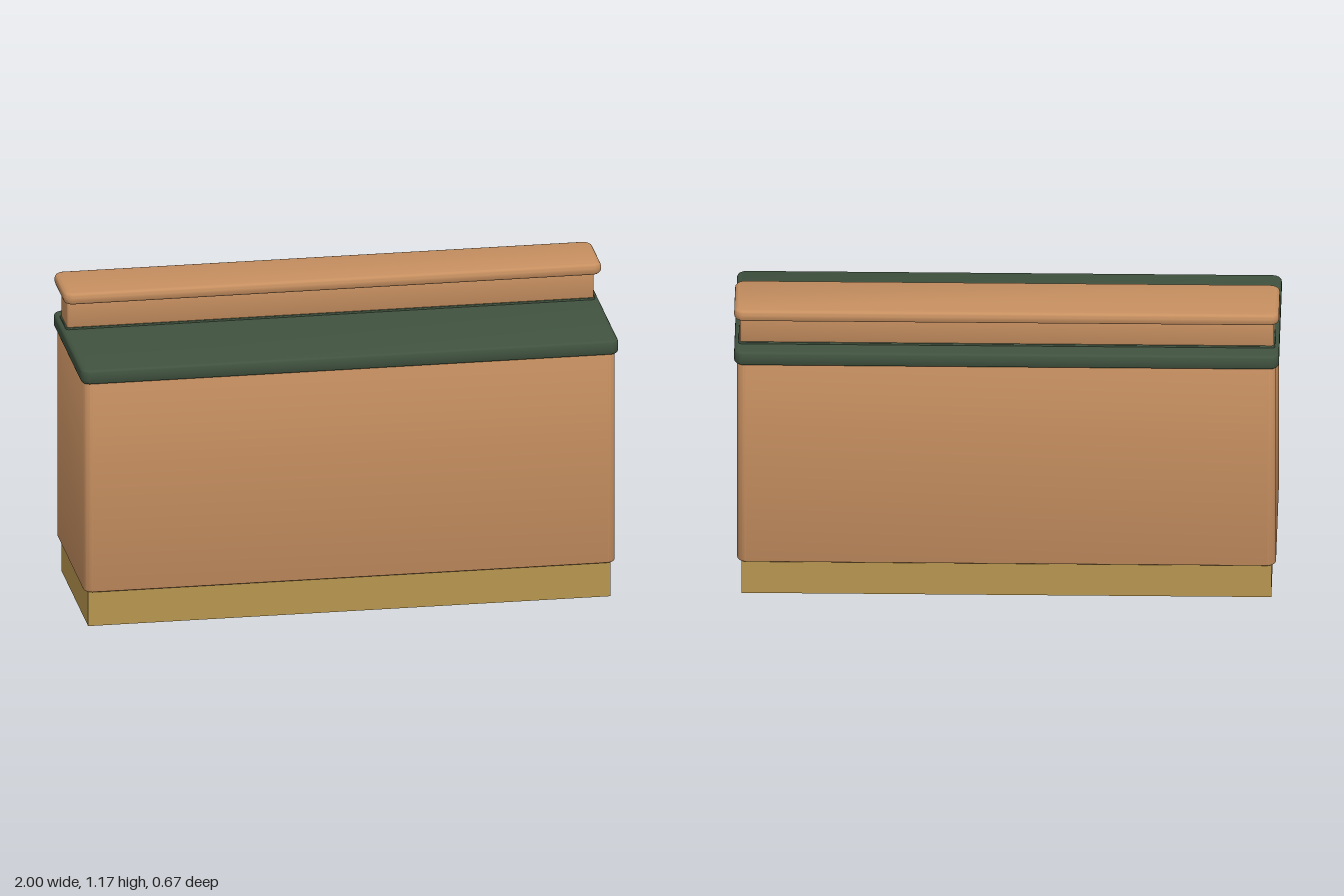
import * as THREE from 'three';
import { toCreasedNormals } from 'three/addons/utils/BufferGeometryUtils.js';

const wood = new THREE.MeshStandardMaterial({ name: 'wood', color: 0xc68f60 });
const brass = new THREE.MeshStandardMaterial({ name: 'brass', color: 0xb8964f });
const green = new THREE.MeshStandardMaterial({ name: 'darkGreen', color: 0x40523f });

// Upright slab with rounded corners in plan and softly bevelled top and bottom edges
function slab(name, material, halfWidth, [z0, z1], [y0, y1], radius, bevel) {
  const x = halfWidth - bevel, z = (z1 - z0) / 2 - bevel, r = radius - bevel;
  const shape = new THREE.Shape();
  shape.absarc(x - r, z - r, r, 0, Math.PI / 2);
  shape.absarc(-x + r, z - r, r, Math.PI / 2, Math.PI);
  shape.absarc(-x + r, -z + r, r, Math.PI, Math.PI * 1.5);
  shape.absarc(x - r, -z + r, r, Math.PI * 1.5, Math.PI * 2);
  shape.closePath();
  let geometry = new THREE.ExtrudeGeometry(shape, {
    depth: y1 - y0 - 2 * bevel,
    bevelEnabled: true, bevelSize: bevel, bevelThickness: bevel, bevelSegments: 4,
    curveSegments: 6,
  });
  geometry.rotateX(-Math.PI / 2);
  geometry.translate(0, y0 + bevel, (z0 + z1) / 2);
  geometry = toCreasedNormals(geometry, 0.6);
  const mesh = new THREE.Mesh(geometry, material);
  mesh.name = name;
  return mesh;
}

export function createModel() {
  const group = new THREE.Group();
  group.name = 'barCounter';

  // Square-edged base
  const plinth = new THREE.Mesh(new THREE.BoxGeometry(1.944, 0.14, 0.6), brass);
  plinth.name = 'plinth';
  plinth.position.y = 0.07;
  group.add(plinth);

  // Cabinet and work surface
  group.add(slab('cabinet', wood, 0.989, [-0.321, 0.321], [0.136, 0.96], 0.035, 0.01));
  group.add(slab('worktop', green, 1, [-0.333, 0.333], [0.953, 1.008], 0.035, 0.014));

  // Raised bar along the back, on a thin green footing
  group.add(slab('riserFooting', green, 0.985, [-0.26, -0.116], [1, 1.015], 0.012, 0.003));
  group.add(slab('riser', wood, 0.98, [-0.255, -0.121], [1.01, 1.13], 0.01, 0.003));
  group.add(slab('upperShelf', wood, 1, [-0.313, -0.055], [1.124, 1.168], 0.035, 0.016));

  return group;
}
